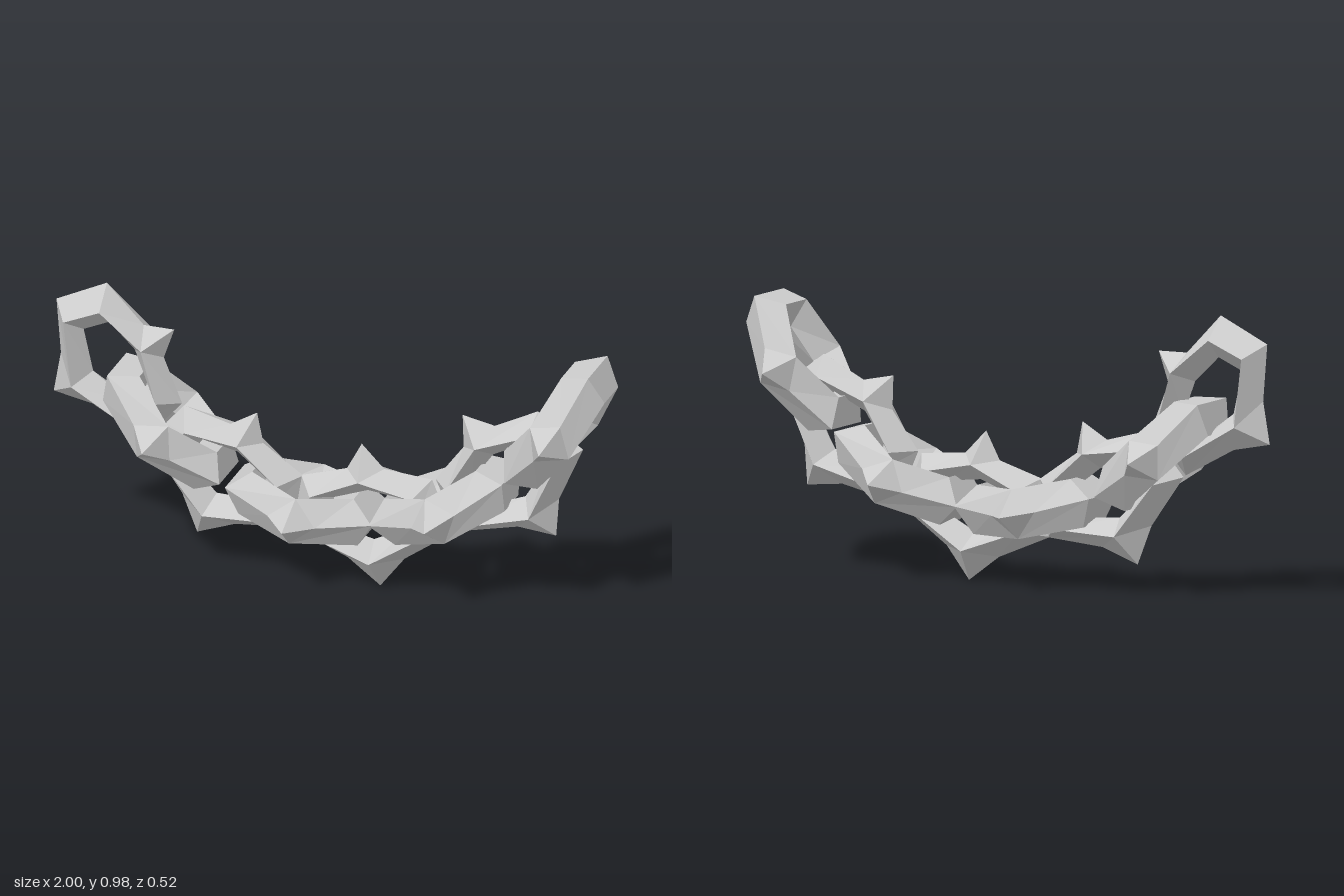
import * as THREE from 'three';

// Centre line of the hanging chain: two end points and eight link centres
const POINTS = [
  [-0.898, 0.94], [-0.78, 0.695], [-0.59, 0.485], [-0.375, 0.34], [-0.09, 0.265],
  [0.14, 0.26], [0.42, 0.34], [0.635, 0.48], [0.83, 0.69], [0.955, 0.935],
];

// One quarter of a link: [along, across, thickness]
const P = {
  outer: [0.267, 0.1, 0], shoulder: [0.085, 0.165, 0], tip: [0, 0.26, 0],
  ridgeMid: [0, 0.15, 0.085], ridgeEnd: [0.2, 0.07, 0.085],
  innerMid: [0, 0.09, 0], innerEnd: [0.135, 0.05, 0],
  outerC: [0.267, 0, 0], ridgeC: [0.2, 0, 0.085], innerC: [0.135, 0, 0],
};
const FACES = [
  ['outer', 'shoulder', 'ridgeMid', 'ridgeEnd'],
  ['shoulder', 'tip', 'ridgeMid'],
  ['ridgeEnd', 'ridgeMid', 'innerMid', 'innerEnd'],
  ['outer', 'ridgeEnd', 'ridgeC', 'outerC'],
  ['ridgeEnd', 'innerEnd', 'innerC', 'ridgeC'],
];

export function createModel() {
  const group = new THREE.Group();
  group.name = 'spikedChain';
  const material = new THREE.MeshStandardMaterial({ color: 0xcccccc, flatShading: true });

  const curve = new THREE.CatmullRomCurve3(POINTS.map(([x, y]) => new THREE.Vector3(x, y, 0)));
  const spans = POINTS.length - 1;
  curve.arcLengthDivisions = spans * 100;
  const lengths = curve.getLengths();
  const total = lengths[lengths.length - 1];

  // Bend a point of a straight link onto the centre line
  const bend = (centre, [s, u, v], upright) => {
    const t = THREE.MathUtils.clamp((centre + s) / total, 0, 1);
    const p = curve.getPointAt(t);
    const tan = curve.getTangentAt(t);
    const [rise, depth] = upright ? [u, v] : [-v, u];
    return [p.x - tan.y * rise, p.y + tan.x * rise, depth];
  };

  // Mirror the quarter into a full ring, bent along the chain
  const makeLink = (centre, upright) => {
    const pos = [];
    for (const a of [1, -1]) for (const b of [1, -1]) for (const c of [1, -1]) {
      for (const face of FACES) {
        const q = face.map((k) => bend(centre, [P[k][0] * a, P[k][1] * b, P[k][2] * c], upright));
        if (a * b * c < 0) q.reverse();
        for (let i = 1; i < q.length - 1; i++) pos.push(...q[0], ...q[i], ...q[i + 1]);
      }
    }
    const g = new THREE.BufferGeometry();
    g.setAttribute('position', new THREE.Float32BufferAttribute(pos, 3));
    g.computeVertexNormals();
    return g;
  };

  // Upright and flat links alternate
  for (let i = 1; i < spans; i++) {
    const upright = i % 2 === 1;
    const link = new THREE.Mesh(makeLink(lengths[i * 100], upright), material);
    link.name = (upright ? 'uprightLink' : 'flatLink') + i;
    group.add(link);
  }
  return group;
}
